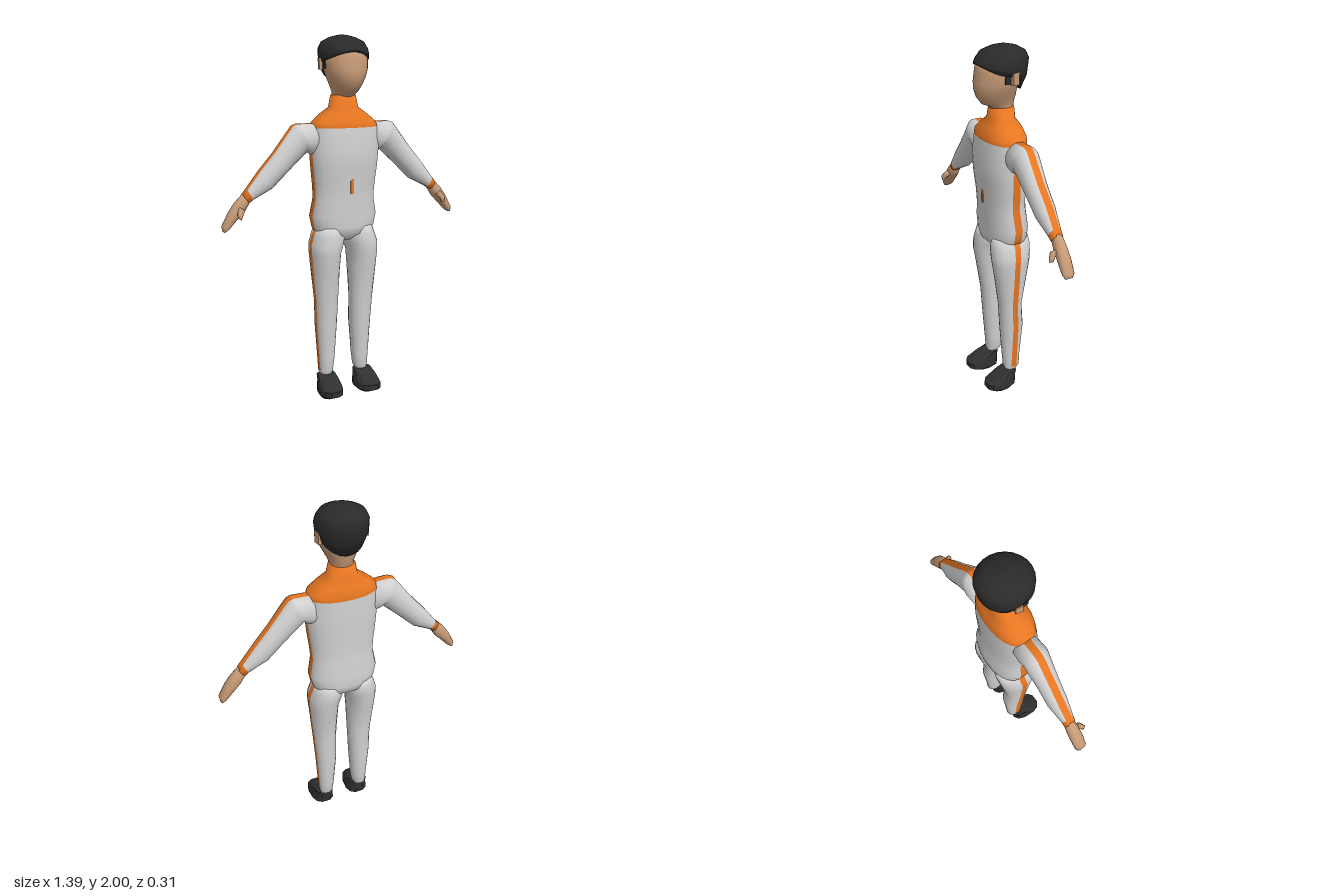
import * as THREE from 'three';

const material = (name, color) => {
  const m = new THREE.MeshStandardMaterial({ color });
  m.name = name;
  return m;
};

// Skins a stack of oval rings. Each ring is [ax, ay, bx, by, zFront, zBack]:
// a and b are opposite ends of the oval in the x-y plane.
// A narrow strip of faces follows end a (segment 2n+1) and end b (segment n).
function loft(name, rings, mats, o = {}) {
  const { n = 9, power = 1, strip = 0, side = 1, pick = () => 0, move, flat } = o;
  const count = 2 * n + 2, pos = [], faces = mats.map(() => []);
  const tri = (m, a, b, c) => faces[m].push(...(side > 0 ? [a, b, c] : [a, c, b]));
  const bend = v => Math.sign(v) * Math.abs(v) ** power;
  const p = new THREE.Vector3();
  rings.forEach(([ax, ay, bx, by, zf, zb], i) => {
    const hz = (zf - zb) / 2;
    const s = strip ? Math.asin(Math.min(0.8, (strip / hz) ** (1 / power))) : Math.PI / count;
    for (let j = 0; j < count; j++) {
      const k = j % (n + 1);
      const t = s + (Math.PI - 2 * s) * k / n + (j > n ? Math.PI : 0);
      const c = bend(Math.cos(t)), d = bend(Math.sin(t));
      p.set((ax + bx) / 2 + (ax - bx) / 2 * c, (ay + by) / 2 + (ay - by) / 2 * c, (zf + zb) / 2 + hz * d);
      if (move) move(p, i);
      pos.push(p.x * side, p.y, p.z);
    }
  });
  for (let i = 0; i < rings.length - 1; i++) for (let j = 0; j < count; j++) {
    const a = i * count + j, b = i * count + (j + 1) % count, m = pick(i, j, n);
    tri(m, a, a + count, b);
    tri(m, b, a + count, b + count);
  }
  // end caps
  [0, rings.length - 1].forEach((i, end) => {
    const [ax, ay, bx, by, zf, zb] = rings[i], centre = pos.length / 3;
    pos.push((ax + bx) / 2 * side, (ay + by) / 2, (zf + zb) / 2);
    const m = pick(Math.min(i, rings.length - 2), 0, n);
    for (let j = 0; j < count; j++) {
      const a = i * count + j, b = i * count + (j + 1) % count;
      end ? tri(m, centre, b, a) : tri(m, centre, a, b);
    }
  });
  let g = new THREE.BufferGeometry();
  g.setAttribute('position', new THREE.Float32BufferAttribute(pos, 3));
  g.setIndex(faces.flat());
  let start = 0;
  faces.forEach((f, m) => { g.addGroup(start, f.length, m); start += f.length; });
  if (flat) g = g.toNonIndexed();
  g.computeVertexNormals();
  const mesh = new THREE.Mesh(g, mats.length > 1 ? mats : mats[0]);
  mesh.name = name;
  return mesh;
}

// Level ring, centred on x = 0
const level = ([y, w, zf, zb]) => [w, y, -w, y, zf, zb];

export function createModel() {
  const suit = material('suit grey', 0xd2d2d2);
  const orange = material('trim orange', 0xe87722);
  const skin = material('skin', 0xc69a76);
  const hair = material('hair black', 0x2a2a2a);
  const shoe = material('shoe black', 0x303030);
  const model = new THREE.Group();
  model.name = 'person';
  const box = (name, mat, w, h, d, x, y, z) => {
    const m = new THREE.Mesh(new THREE.BoxGeometry(w, h, d), mat);
    m.name = name;
    m.position.set(x, y, z);
    model.add(m);
    return m;
  };

  // Torso with side stripes, yoke and collar
  const torso = [
    [0.895, 0.08, 0.05, -0.08], [0.93, 0.165, 0.09, -0.125], [0.97, 0.182, 0.095, -0.13],
    [1.03, 0.195, 0.096, -0.13], [1.13, 0.176, 0.1, -0.12], [1.2, 0.181, 0.103, -0.116],
    [1.3, 0.192, 0.115, -0.118], [1.4, 0.2, 0.121, -0.12], [1.515, 0.193, 0.107, -0.117],
    [1.54, 0.187, 0.104, -0.116], [1.58, 0.14, 0.085, -0.105], [1.62, 0.082, 0.06, -0.08],
    [1.685, 0.068, 0.052, -0.075],
  ].map(level);
  model.add(loft('torso', torso, [suit, orange], {
    n: 11, strip: 0.022, power: 0.88,
    pick: (i, j, n) => (i >= 8 || (i > 0 && (j === n || j === 2 * n + 1)) ? 1 : 0),
  }));
  box('zipPull', orange, 0.018, 0.08, 0.008, 0, 1.2, 0.103);

  // Neck and head
  model.add(loft('head', [
    [1.66, 0.06, 0.045, -0.068], [1.69, 0.064, 0.06, -0.075], [1.705, 0.068, 0.1, -0.08],
    [1.74, 0.085, 0.127, -0.088], [1.78, 0.105, 0.139, -0.092], [1.82, 0.119, 0.138, -0.1],
    [1.87, 0.126, 0.13, -0.115], [1.92, 0.12, 0.122, -0.12], [1.96, 0.085, 0.07, -0.1],
  ].map(level), [skin], { n: 11 }));

  // Hair cap: the hairline is high on the brow and drops towards the nape
  const hairline = z => (z > 0 ? 1.865 + 0.045 * (z / 0.128) ** 2 : 1.865 - 0.1 * Math.min(1, -z / 0.105));
  model.add(loft('hair', [
    [1.86, 0.13, 0.131, -0.107], [1.89, 0.137, 0.135, -0.143], [1.93, 0.134, 0.126, -0.155],
    [1.965, 0.115, 0.1, -0.14], [1.988, 0.07, 0.05, -0.1], [2, 0.025, 0, -0.05],
  ].map(level), [hair], {
    n: 11,
    move: (p, i) => {
      if (i === 0) p.y = hairline(p.z);
      if (i === 1) p.y = THREE.MathUtils.lerp(hairline(p.z * 0.85), 1.93, 0.5);
    },
  }));

  for (const side of [1, -1]) {
    const label = side > 0 ? 'left' : 'right';
    const strip = (i, j, n) => (j === 2 * n + 1 ? 1 : 0);

    box(label + 'Ear', skin, 0.025, 0.062, 0.038, side * 0.125, 1.85, -0.022).rotation.y = side * 0.2;
    box(label + 'Sideburn', hair, 0.02, 0.05, 0.03, side * 0.117, 1.85, 0.018);

    // Sleeve, from cuff to shoulder, with a stripe along the top
    model.add(loft(label + 'Arm', [
      [0.587, 1.182, 0.548, 1.128, 0.022, -0.044], [0.563, 1.21, 0.527, 1.145, 0.026, -0.046],
      [0.49, 1.3, 0.42, 1.2, 0.043, -0.066], [0.41, 1.39, 0.32, 1.295, 0.05, -0.07],
      [0.30, 1.53, 0.215, 1.39, 0.062, -0.083], [0.27, 1.542, 0.195, 1.37, 0.064, -0.085],
      [0.17, 1.54, 0.16, 1.36, 0.06, -0.08],
    ], [suit, orange], { side, n: 7, strip: 0.02, pick: (i, j, n) => (i === 0 ? 1 : strip(i, j, n)) }));

    // Hand and thumb
    model.add(loft(label + 'Hand', [
      [0.694, 0.994, 0.684, 0.988, 0.012, -0.03], [0.698, 1.02, 0.66, 1.003, 0.024, -0.042],
      [0.66, 1.092, 0.615, 1.05, 0.026, -0.046], [0.625, 1.14, 0.573, 1.09, 0.024, -0.044],
      [0.58, 1.185, 0.546, 1.132, 0.018, -0.04],
    ], [skin], { side, n: 5, power: 0.9 }));
    model.add(loft(label + 'Thumb', [
      [0.626, 1.068, 0.608, 1.056, 0.06, 0.04], [0.627, 1.09, 0.6, 1.075, 0.062, 0.03],
      [0.61, 1.122, 0.58, 1.1, 0.045, 0],
    ], [skin], { side, n: 3 }));

    // Trouser leg, from ankle to hip, with a stripe down the outside
    const leg = [
      [0.09, 0.145, 0.08, 0.015, -0.033], [0.125, 0.15, 0.068, 0.03, -0.066], [0.2, 0.155, 0.058, 0.035, -0.07],
      [0.4, 0.167, 0.045, 0.05, -0.088], [0.55, 0.176, 0.04, 0.058, -0.074], [0.72, 0.19, 0.034, 0.083, -0.102],
      [0.82, 0.198, 0.028, 0.1, -0.118], [0.87, 0.199, 0.01, 0.101, -0.124], [0.92, 0.182, 0, 0.096, -0.13],
      [0.97, 0.165, 0.01, 0.085, -0.12],
    ].map(([y, out, inn, zf, zb]) => [out, y, inn, y, zf, zb]);
    model.add(loft(label + 'Leg', leg, [suit, orange], {
      side, n: 9, strip: 0.017, power: 0.95,
      pick: (i, j, n) => (i > 0 ? strip(i, j, n) : 0),
    }));

    // Shoe, toes turned slightly out
    model.add(loft(label + 'Shoe', [
      [0.17, 0, 0.06, 0, 0.12, -0.005], [0.18, 0.018, 0.043, 0.018, 0.154, -0.034],
      [0.179, 0.05, 0.045, 0.05, 0.154, -0.035], [0.172, 0.085, 0.053, 0.085, 0.095, -0.036],
      [0.167, 0.107, 0.06, 0.107, 0.03, -0.036],
    ].map(([a, y, b, , zf, zb]) => [a, y, b, y, zf, zb]), [shoe], {
      side, n: 5, power: 0.75, flat: true,
      move: p => { p.x += Math.max(0, p.z) * 0.06; },
    }));
  }
  return model;
}
